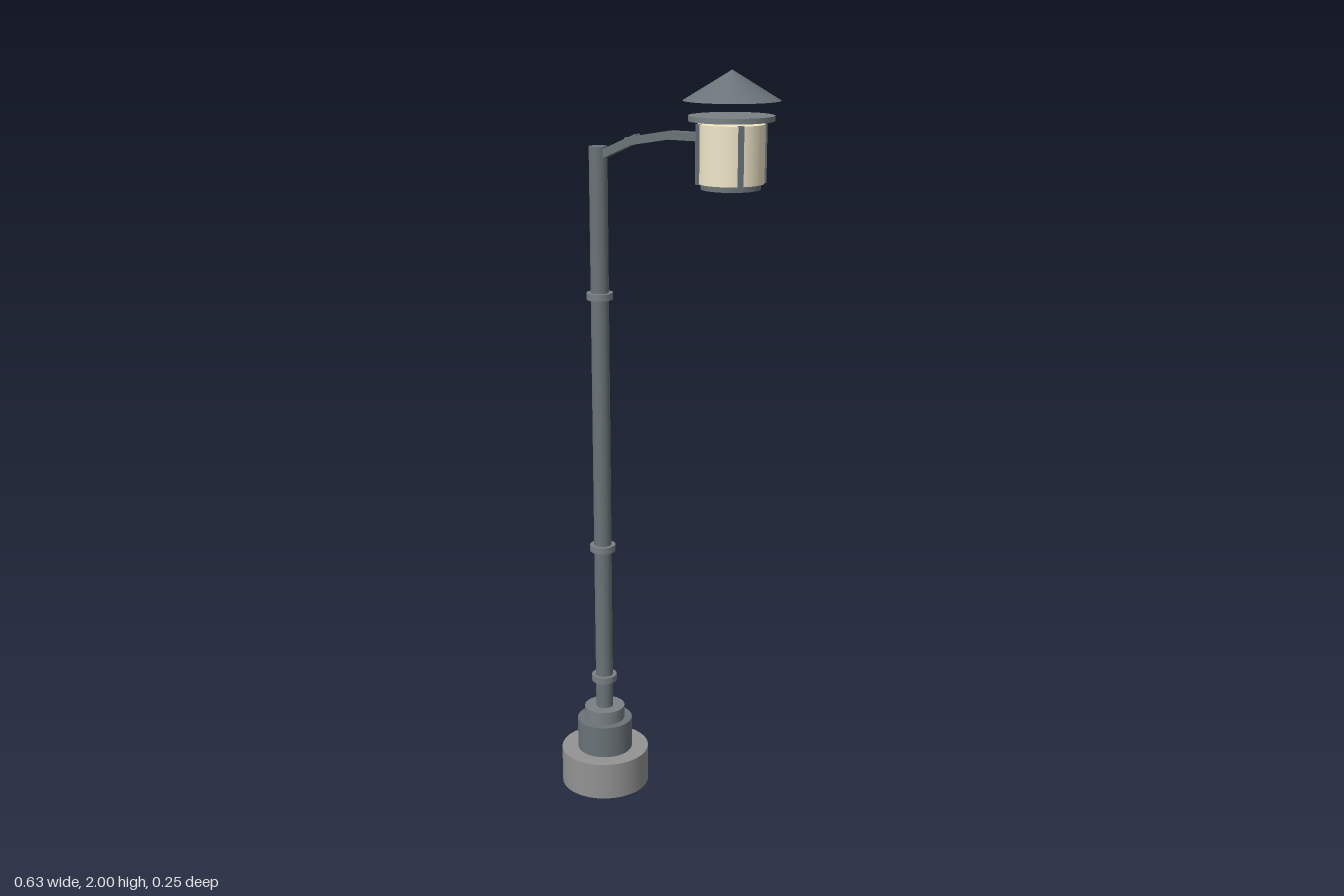
import * as THREE from 'three';

const mat = (color) => new THREE.MeshStandardMaterial({ color });

export function createModel() {
  const model = new THREE.Group();
  const metal = mat(0x6a7378), trim = mat(0x7a8084), stone = mat(0x939393), glass = mat(0xf0e6c8);
  const poleX = -0.193, lampX = 0.196;

  const add = (name, geometry, material, x, y, z = 0) => {
    const mesh = new THREE.Mesh(geometry, material);
    mesh.name = name;
    mesh.position.set(x, y, z);
    model.add(mesh);
    return mesh;
  };
  // Upright cylinder between two heights
  const drum = (name, x, radius, y0, y1, material) =>
    add(name, new THREE.CylinderGeometry(radius, radius, y1 - y0, 32), material, x, (y0 + y1) / 2);

  // Stepped base and pole
  drum('foundation', poleX, 0.123, 0, 0.105, stone);
  drum('basePlinth', poleX, 0.077, 0.105, 0.195, metal);
  drum('baseStep', poleX, 0.056, 0.195, 0.232, trim);
  drum('pole', poleX, 0.024, 0.232, 1.8, metal);
  for (const y of [0.32, 0.71, 1.413]) drum('poleCollar', poleX, 0.035, y - 0.009, y + 0.009, trim);

  // Arm made of three overlapping straight bars
  const bars = [
    [-0.178, 1.78, -0.07, 1.827],
    [-0.105, 1.816, 0.033, 1.84],
    [0.02, 1.838, 0.13, 1.838],
  ];
  for (const [x0, y0, x1, y1] of bars) {
    const length = Math.hypot(x1 - x0, y1 - y0);
    const bar = add('armSegment', new THREE.BoxGeometry(length, 0.021, 0.023), metal, (x0 + x1) / 2, (y0 + y1) / 2);
    bar.rotation.z = Math.atan2(y1 - y0, x1 - x0);
  }

  // Lantern
  drum('lanternFloor', lampX, 0.074, 1.717, 1.735, metal);
  drum('lanternGlass', lampX, 0.082, 1.731, 1.873, glass);
  for (let i = 0; i < 4; i++) {
    const a = Math.PI / 4 + (i * Math.PI) / 2;
    const post = add('lanternPost', new THREE.BoxGeometry(0.013, 0.144, 0.013), metal,
      lampX + 0.082 * Math.cos(a), 1.802, 0.082 * Math.sin(a));
    post.rotation.y = -a;
  }
  drum('lanternRim', lampX, 0.105, 1.88, 1.893, trim);
  add('lanternRoof', new THREE.ConeGeometry(0.119, 0.072, 32), metal, lampX, 1.964);

  return model;
}
